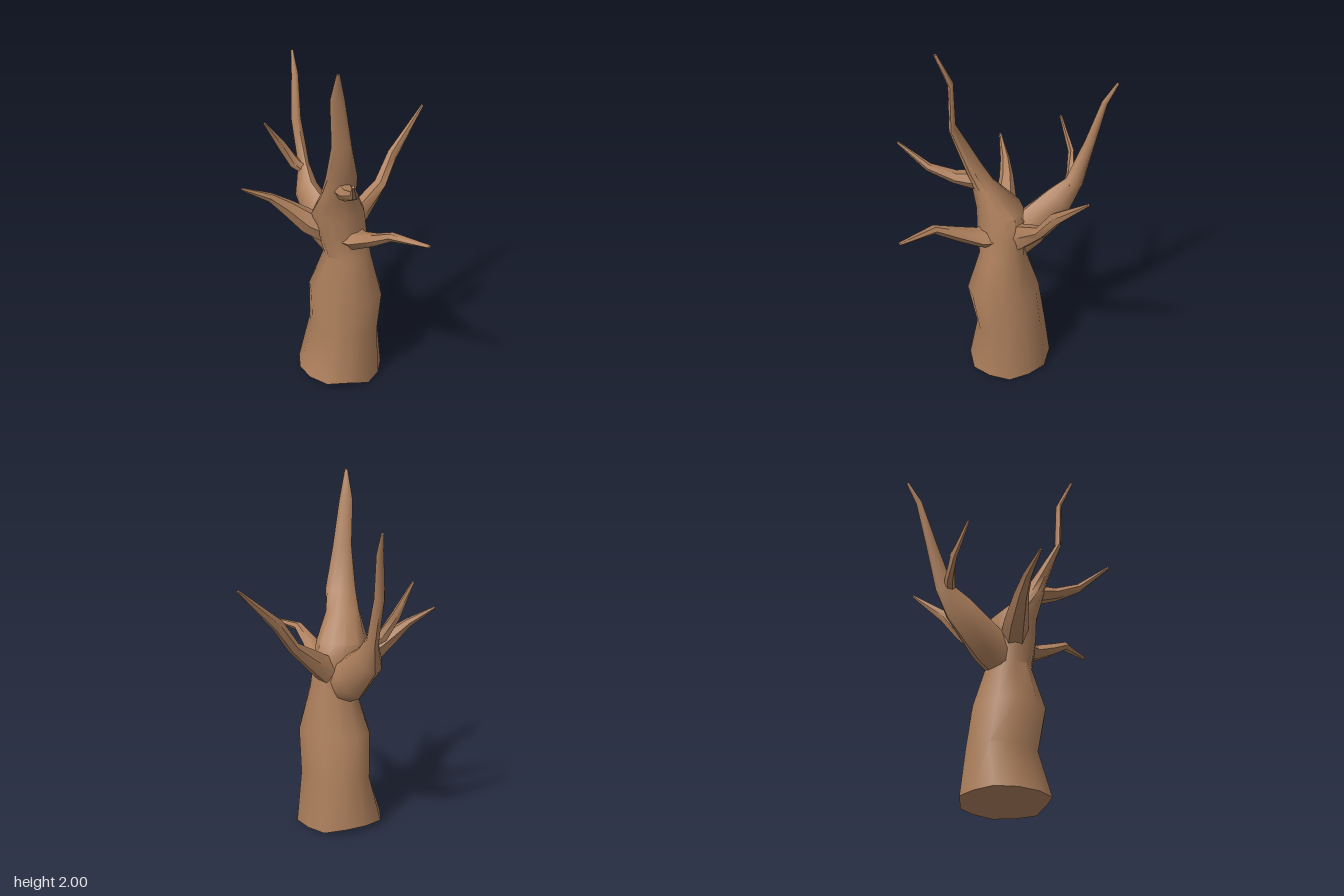
import * as THREE from 'three';
import { toCreasedNormals } from 'three/addons/utils/BufferGeometryUtils.js';

const bark = new THREE.MeshStandardMaterial({ color: 0xad7f5c });

// Skin a list of equally sized rings (arrays of Vector3) and cap both ends.
function loft(rings, crease) {
  const pos = [];
  const tri = (...pts) => pts.forEach((p) => pos.push(p.x, p.y, p.z));
  const n = rings[0].length;
  const centre = (r) => r.reduce((s, p) => s.add(p), new THREE.Vector3()).divideScalar(n);
  const first = rings[0], last = rings[rings.length - 1];
  const c0 = centre(first), c1 = centre(last);
  for (let i = 0; i < n; i++) {
    const j = (i + 1) % n;
    for (let k = 0; k < rings.length - 1; k++) {
      const a = rings[k], b = rings[k + 1];
      tri(a[i], a[j], b[j]);
      tri(a[i], b[j], b[i]);
    }
    tri(c0, first[j], first[i]);
    tri(c1, last[i], last[j]);
  }
  const g = new THREE.BufferGeometry();
  g.setAttribute('position', new THREE.Float32BufferAttribute(pos, 3));
  return toCreasedNormals(g, crease);
}

// Tapered limb through stations [x, y, z, half width, half height].
function limb(name, stations, sides = 6) {
  const pts = stations.map((s) => new THREE.Vector3(s[0], s[1], s[2]));
  const rings = stations.map(([, , , w, h], k) => {
    const t = pts[Math.min(k + 1, pts.length - 1)].clone()
      .sub(pts[Math.max(k - 1, 0)]).normalize();
    const side = new THREE.Vector3(0, 1, 0).cross(t).normalize();
    const up = t.clone().cross(side);
    return Array.from({ length: sides }, (_, i) => {
      const a = (i / sides) * Math.PI * 2;
      return pts[k].clone()
        .addScaledVector(side, Math.cos(a) * w)
        .addScaledVector(up, Math.sin(a) * h);
    });
  });
  const mesh = new THREE.Mesh(loft(rings, 0.9), bark);
  mesh.name = name;
  return mesh;
}

// Trunk and leading bough: level rings
// [y, centre x, centre z, radius x, radius z, diagonal skew].
function trunk() {
  const sides = 12;
  const levels = [
    [0.03, -0.055, 0.115, 0.258, 0.25, 0],
    [0.3, -0.048, 0.085, 0.225, 0.19, 0],
    [0.55, -0.013, 0.105, 0.23, 0.207, 0],
    [0.8, -0.005, 0.095, 0.142, 0.137, 0],
    [0.95, -0.012, 0.125, 0.135, 0.157, 0],
    [1.07, -0.02, 0.145, 0.14, 0.155, -0.1],
    [1.22, 0.053, 0.21, 0.075, 0.095, -0.3],
    [1.34, 0.105, 0.235, 0.065, 0.072, -0.6],
    [1.57, 0.187, 0.31, 0.038, 0.043, -0.95],
    [1.83, 0.18, 0.33, 0.026, 0.033, -0.8],
    [2.0, 0.242, 0.38, 0.01, 0.008, 0],
  ];
  const rings = levels.map(([y, cx, cz, rx, rz, skew], k) =>
    Array.from({ length: sides }, (_, i) => {
      const a = (i / sides) * Math.PI * 2;
      // shallow vertical furrows that wander with height
      const f = 1 - 0.04 * (1 + Math.sin(i * 2.4 + k * 0.7)) * (k < 6 ? 1 : 0);
      // the foot dips at the back
      const dip = k === 0 && Math.sin(a) > -0.1 && Math.cos(a) > -0.6 ? 0.03 : 0;
      return new THREE.Vector3(
        cx + Math.cos(a) * rx * f, y - dip, cz - Math.sin(a - skew) * rz * f);
    }));
  const mesh = new THREE.Mesh(loft(rings, 0.9), bark);
  mesh.name = 'trunk';
  return mesh;
}

export function createModel() {
  const tree = new THREE.Group();
  tree.name = 'bareTree';
  tree.add(
    trunk(),
    // heavy bough on the model's right, with its twig
    limb('rightBough', [
      [-0.03, 0.83, 0.1, 0.09, 0.13],
      [-0.18, 0.895, 0.1, 0.088, 0.13],
      [-0.375, 1.05, 0.07, 0.066, 0.098],
      [-0.445, 1.17, 0.025, 0.033, 0.055],
      [-0.53, 1.42, 0, 0.03, 0.032],
      [-0.585, 1.67, -0.045, 0.02, 0.018],
      [-0.645, 1.79, -0.08, 0.008, 0.008],
    ], 8),
    limb('rightTwig', [
      [-0.4, 1.14, 0.03, 0.03, 0.03],
      [-0.46, 1.19, 0.08, 0.028, 0.035],
      [-0.495, 1.3, 0.14, 0.018, 0.03],
      [-0.5, 1.475, 0.26, 0.008, 0.008],
    ]),
    limb('frontBranch', [
      [-0.04, 0.94, 0.17, 0.08, 0.085],
      [-0.13, 1.0, 0.27, 0.068, 0.07],
      [-0.2, 1.1, 0.37, 0.042, 0.045],
      [-0.24, 1.17, 0.45, 0.028, 0.026],
      [-0.3, 1.25, 0.6, 0.008, 0.008],
    ]),
    limb('backBranch', [
      [-0.05, 0.9, 0.07, 0.06, 0.1],
      [-0.055, 0.96, -0.03, 0.054, 0.075],
      [-0.06, 1.095, -0.22, 0.042, 0.035],
      [-0.075, 1.24, -0.335, 0.03, 0.037],
      [-0.095, 1.465, -0.6, 0.008, 0.008],
    ]),
    limb('leftBranch', [
      [0.03, 0.92, 0.12, 0.1, 0.08],
      [0.14, 0.93, 0.13, 0.085, 0.046],
      [0.28, 0.995, 0.15, 0.052, 0.036],
      [0.41, 1.065, 0.155, 0.03, 0.025],
      [0.645, 1.08, 0.11, 0.014, 0.008],
    ]),
    limb('upperLeftTwig', [
      [0.08, 1.255, 0.21, 0.06, 0.06],
      [0.2, 1.28, 0.275, 0.046, 0.036],
      [0.325, 1.345, 0.35, 0.024, 0.024],
      [0.448, 1.48, 0.475, 0.008, 0.008],
    ]),
  );
  return tree;
}
